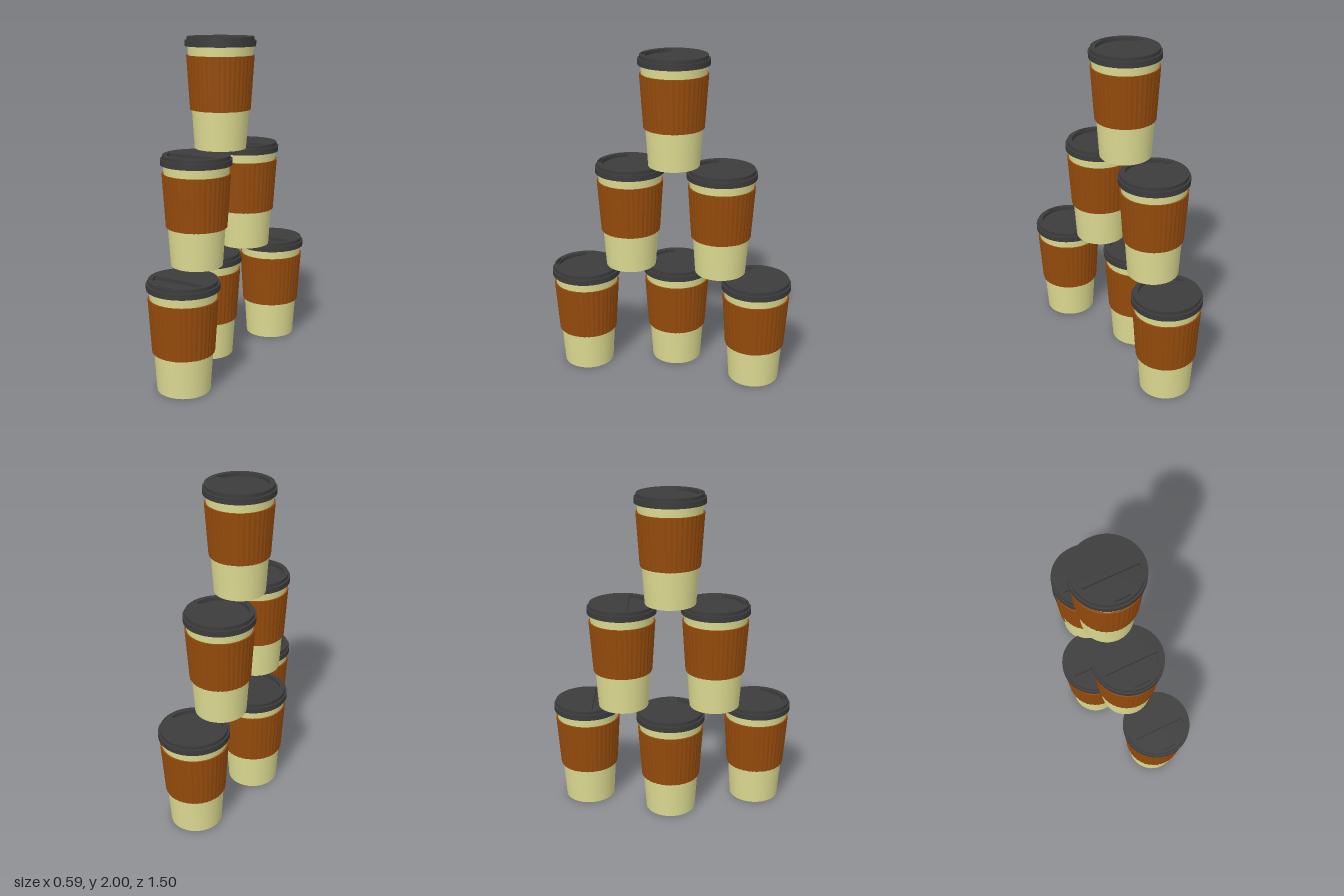
import * as THREE from 'three';
import { toCreasedNormals } from 'three/addons/utils/BufferGeometryUtils.js';

const CUP_HEIGHT = 2 / 3;

// Revolve [radius, height] pairs, keeping sharp profile edges
function revolve(profile, segments, crease = 0.5) {
  const points = profile.map(([r, y]) => new THREE.Vector2(r, y));
  return toCreasedNormals(new THREE.LatheGeometry(points, segments), crease);
}

// Corrugated cardboard sleeve: the tube's radius ripples around the cup
function sleeveGeometry() {
  const segments = 80;
  const profile = [[0.168, 0.235], [0.182, 0.235], [0.203, 0.557], [0.19, 0.557]];
  const geometry = new THREE.LatheGeometry(profile.map(([r, y]) => new THREE.Vector2(r, y)), segments);
  const pos = geometry.attributes.position;
  for (let i = 0; i < pos.count; i++) {
    if (i % 4 === 0 || i % 4 === 3) continue; // inner edge stays round
    const column = Math.floor(i / 4) % segments;
    const scale = column % 2 ? 0.987 : 1.003;
    pos.setX(i, pos.getX(i) * scale);
    pos.setZ(i, pos.getZ(i) * scale);
  }
  return toCreasedNormals(geometry, 0.15);
}

// Lid top plate with a D-shaped well and a curved sip slot
function lidTopGeometry() {
  const plate = new THREE.Shape().absarc(0, 0, 0.2, 0, Math.PI * 2, false);
  const chord = Math.asin(0.04 / 0.17);
  const well = new THREE.Path();
  well.absarc(0, 0, 0.17, Math.PI + chord, Math.PI * 2 - chord, false);
  well.closePath();
  const down = -Math.PI / 2;
  const slot = new THREE.Path();
  slot.absarc(0, 0, 0.191, down - 0.25, down + 0.25, false);
  slot.absarc(0, 0, 0.176, down + 0.25, down - 0.25, true);
  slot.closePath();
  plate.holes.push(well, slot);
  const geometry = new THREE.ExtrudeGeometry(plate, {
    depth: CUP_HEIGHT - 0.645, bevelEnabled: false, curveSegments: 32,
  });
  geometry.rotateX(-Math.PI / 2);
  geometry.translate(0, 0.645, 0);
  return toCreasedNormals(geometry, 0.5);
}

export function createModel() {
  const cream = new THREE.MeshStandardMaterial({ color: 0xdedc92 });
  cream.name = 'cream paper';
  const brown = new THREE.MeshStandardMaterial({ color: 0x964c0c });
  brown.name = 'brown cardboard';
  const dark = new THREE.MeshStandardMaterial({ color: 0x3c3c3c });
  dark.name = 'dark plastic';

  // Paper body with a recessed base
  const parts = [
    ['cupBody', revolve([[0, 0.018], [0.15, 0.018], [0.15, 0], [0.156, 0], [0.197, 0.62]], 36), cream],
    ['sleeve', sleeveGeometry(), brown],
    ['lidSkirt', revolve([[0.194, 0.61], [0.212, 0.61], [0.212, 0.645], [0, 0.645]], 48), dark],
    ['lidTop', lidTopGeometry(), dark],
  ];

  // Pyramid of cups: x, tier, z
  const places = [
    [0.085, 0, 0.54], [-0.085, 0, -0.01], [0.085, 0, -0.54],
    [0.005, 1, 0.265], [0.012, 1, -0.305],
    [0.005, 2, -0.01],
  ];

  const model = new THREE.Group();
  model.name = 'cupPyramid';
  places.forEach(([x, tier, z], i) => {
    const cup = new THREE.Group();
    cup.name = `cup${i + 1}`;
    for (const [name, geometry, material] of parts) {
      const mesh = new THREE.Mesh(geometry, material);
      mesh.name = name;
      cup.add(mesh);
    }
    cup.position.set(x, tier * CUP_HEIGHT, z);
    model.add(cup);
  });
  return model;
}
